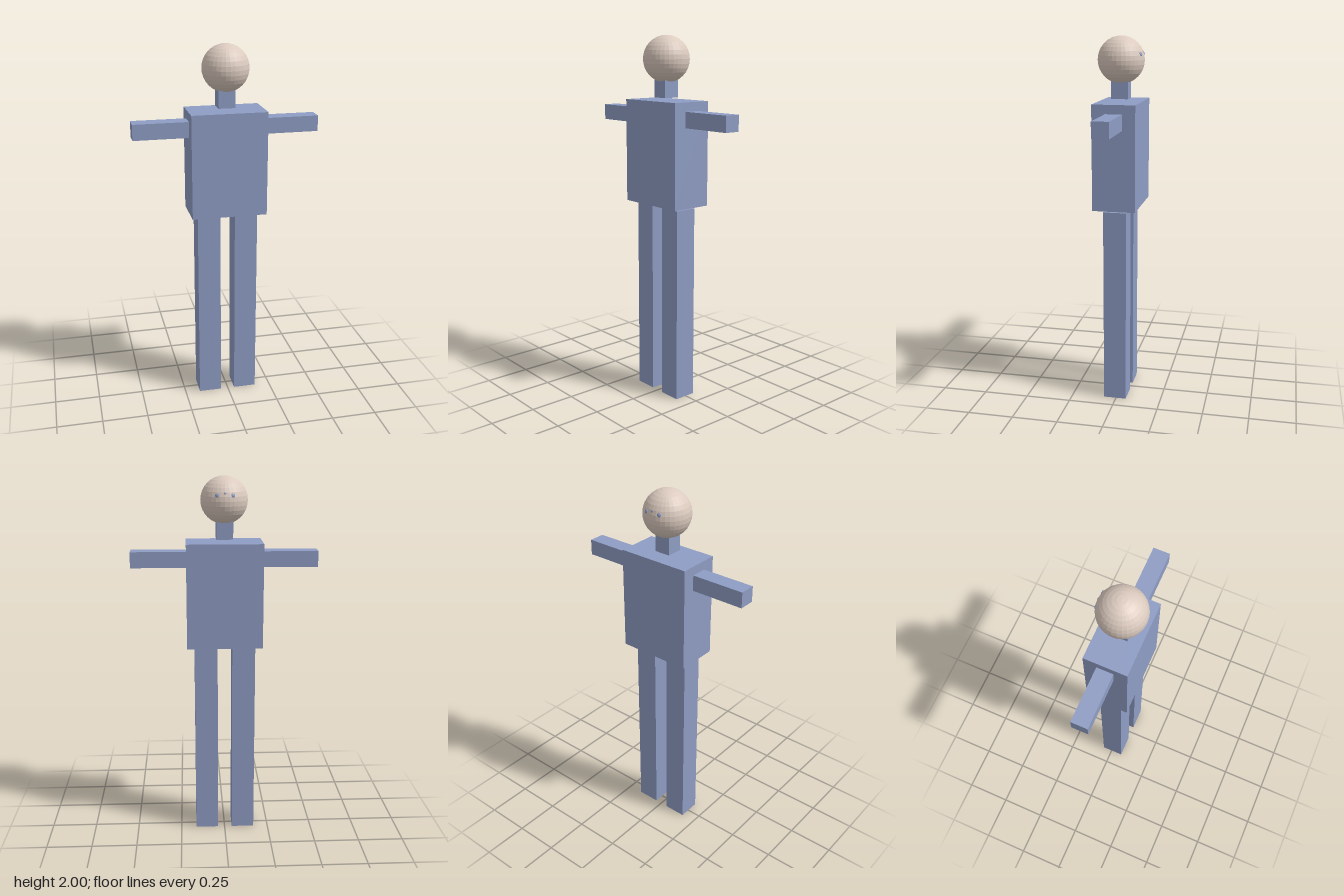
import * as THREE from 'three';

export function createModel() {
  const model = new THREE.Group();
  model.name = 'blockFigure';
  const blue = new THREE.MeshStandardMaterial({ color: 0x8f9dc4 });
  blue.name = 'dusty blue';
  const skin = new THREE.MeshStandardMaterial({ color: 0xdccbbf });
  skin.name = 'pale skin';

  const add = (name, geometry, material, parent = model) => {
    const mesh = new THREE.Mesh(geometry, material);
    mesh.name = name;
    parent.add(mesh);
    return mesh;
  };
  // Box from its minimum and maximum corners
  const box = (name, [x0, y0, z0], [x1, y1, z1]) =>
    add(name, new THREE.BoxGeometry(x1 - x0, y1 - y0, z1 - z0), blue)
      .position.set((x0 + x1) / 2, (y0 + y1) / 2, (z0 + z1) / 2);

  // Body, with small gaps at the neck and hips
  box('torso', [-0.204, 1.095, -0.112], [0.204, 1.658, 0.119]);
  box('neck', [-0.046, 1.672, -0.04], [0.043, 1.8, 0.05]);
  box('leftArm', [0.2, 1.525, -0.042], [0.5, 1.61, 0.047]);
  box('rightArm', [-0.5, 1.525, -0.042], [-0.2, 1.61, 0.047]);
  box('leftLeg', [0.038, 0, -0.056], [0.164, 1.08, 0.069]);
  box('rightLeg', [-0.168, 0, -0.056], [-0.042, 1.08, 0.069]);

  // Head
  const head = new THREE.Group();
  head.name = 'head';
  head.position.set(0, 1.875, 0.004);
  model.add(head);
  add('skull', new THREE.SphereGeometry(0.125, 32, 16).toNonIndexed(), skin, head)
    .geometry.computeVertexNormals();

  // Small, almost flush face details on the -z side
  const dot = (name, radius, x, y) => {
    const mesh = add(name, new THREE.SphereGeometry(radius, 12, 8), blue, head);
    mesh.position.set(x, y, -0.123).setLength(0.1245);
    mesh.scale.z = 0.4;
    mesh.lookAt(mesh.position.clone().multiplyScalar(2).add(head.position));
  };
  for (const side of [-1, 1]) dot(side > 0 ? 'leftEye' : 'rightEye', 0.011, side * 0.045, 0.035);
  dot('noseBridge', 0.006, 0, 0.045);

  return model;
}
